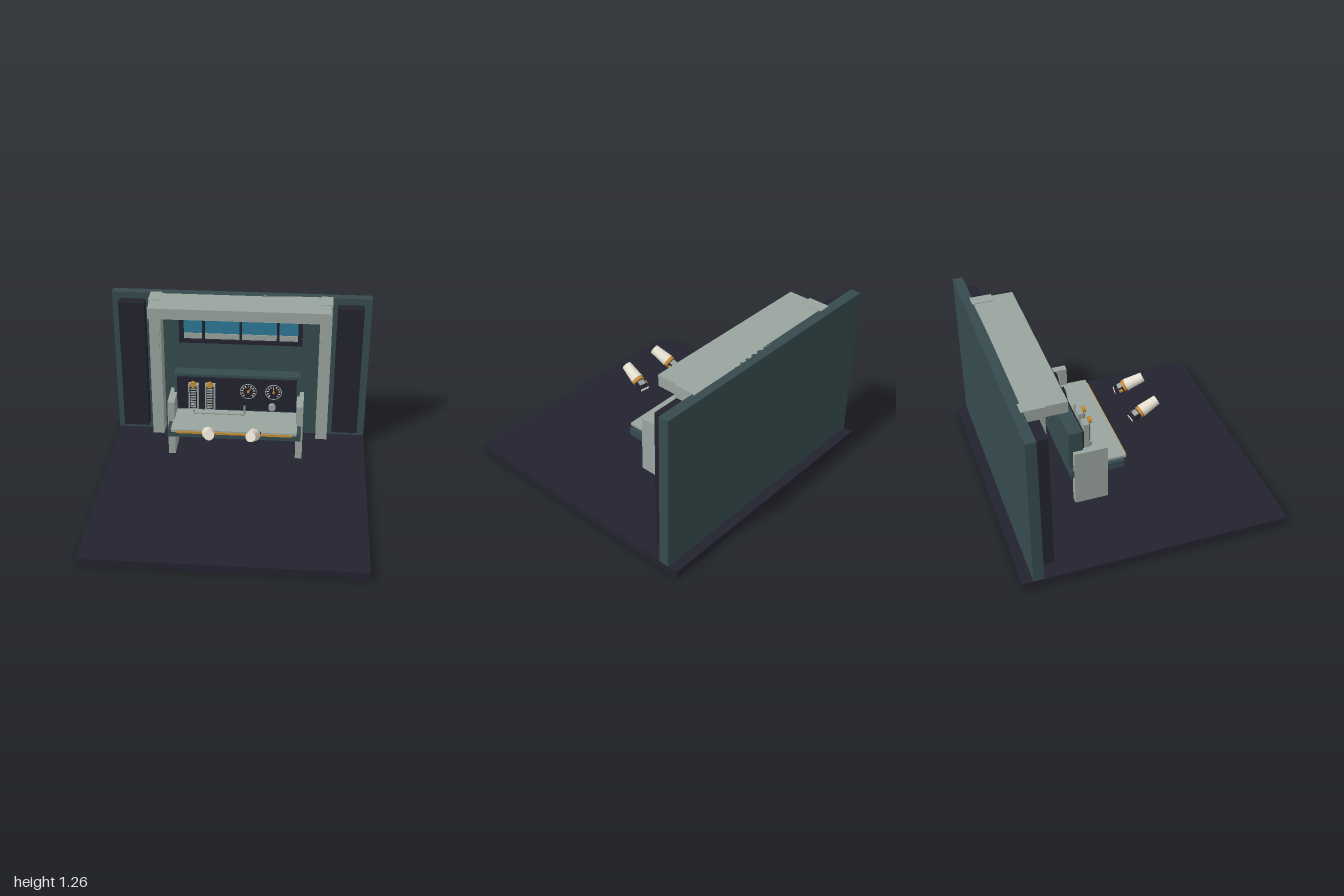
import * as THREE from 'three';

const mat = (name, color) => {
  const m = new THREE.MeshStandardMaterial({ color });
  m.name = name;
  return m;
};

export function createModel() {
  const model = new THREE.Group();
  model.name = 'controlRoom';
  const dark = mat('darkNavy', 0x23232f);
  const teal = mat('deepTeal', 0x364b4f);
  const grey = mat('paleGrey', 0x9aa49f);
  const blue = mat('windowBlue', 0x2e7898);
  const gold = mat('gold', 0xc58d36);
  const cream = mat('cream', 0xe4dfd0);

  const add = (name, geo, m, parent = model) => {
    const mesh = new THREE.Mesh(geo, m);
    mesh.name = name;
    parent.add(mesh);
    return mesh;
  };
  // Box given by its limits on each axis
  const box = (name, m, x0, x1, y0, y1, z0, z1, parent = model) => {
    const mesh = add(name, new THREE.BoxGeometry(x1 - x0, y1 - y0, z1 - z0), m, parent);
    mesh.position.set((x0 + x1) / 2, (y0 + y1) / 2, (z0 + z1) / 2);
    return mesh;
  };
  // The same box on both sides
  const pair = (name, m, x0, x1, ...rest) => {
    box(name + 'Left', m, x0, x1, ...rest);
    box(name + 'Right', m, -x1, -x0, ...rest);
  };
  // Cylinder lying along z
  const disc = (name, m, r0, r1, z0, z1, x, y, parent = model, sides = 24) => {
    const geo = new THREE.CylinderGeometry(r1, r0, z1 - z0, sides).rotateX(Math.PI / 2);
    const mesh = add(name, geo, m, parent);
    mesh.position.set(x, y, (z0 + z1) / 2);
    return mesh;
  };

  // Room shell
  box('floor', dark, -1, 1, 0, 0.06, -0.975, 0.975);
  box('backWall', teal, -1, 1, 0.06, 1.255, -0.9, -0.825);
  pair('sidePanel', dark, 0.74, 0.94, 0.13, 1.205, -0.825, -0.735);
  pair('pillar', grey, 0.61, 0.7, 0.09, 1.26, -0.843, -0.685);
  box('overheadBeam', grey, -0.685, 0.685, 1.17, 1.255, -0.84, -0.53);
  pair('lightStrip', grey, 0.62, 0.638, 0.69, 1.005, -0.678, -0.667);

  // Window with frame, mullions and a pale sill band
  const frame = new THREE.Shape([[-0.48, 0.87], [0.48, 0.87], [0.48, 1.14], [-0.48, 1.14]]
    .map(p => new THREE.Vector2(...p)));
  frame.holes.push(new THREE.Path([[-0.445, 0.9], [-0.445, 1.11], [0.445, 1.11], [0.445, 0.9]]
    .map(p => new THREE.Vector2(...p))));
  add('windowFrame', new THREE.ExtrudeGeometry(frame, { depth: 0.065, bevelEnabled: false }), dark)
    .position.z = -0.83;
  box('windowGlass', blue, -0.45, 0.45, 0.895, 1.115, -0.825, -0.79);
  box('windowSillBand', grey, -0.445, 0.445, 0.9, 0.945, -0.792, -0.784);
  for (const x of [-0.29, 0, 0.29]) box('mullion', dark, x - 0.01, x + 0.01, 0.9, 1.11, -0.8, -0.77);

  // Console
  box('consoleHousing', teal, -0.475, 0.475, 0.495, 0.8, -0.475, -0.375);
  box('instrumentPanel', dark, -0.45, 0.45, 0.515, 0.78, -0.376, -0.358);
  box('deskBase', teal, -0.495, 0.495, 0.425, 0.482, -0.47, -0.078);
  box('deskTop', grey, -0.465, 0.465, 0.479, 0.5, -0.374, -0.056);
  box('deskTrim', gold, -0.43, 0.43, 0.474, 0.49, -0.058, -0.047);
  pair('consoleLeg', grey, 0.455, 0.507, 0.2, 0.642, -0.447, -0.205);

  // Ladder level indicators
  for (const x of [-0.32, -0.195]) {
    const g = new THREE.Group();
    g.name = 'levelIndicator';
    model.add(g);
    box('indicatorBody', grey, x - 0.038, x + 0.038, 0.548, 0.755, -0.33, -0.288, g);
    box('indicatorFace', dark, x - 0.026, x + 0.026, 0.56, 0.742, -0.29, -0.281, g);
    for (let i = 0; i < 8; i++) {
      const y = 0.572 + i * 0.021;
      box('rung', grey, x - 0.02, x + 0.02, y, y + 0.009, -0.283, -0.272, g);
    }
    disc('indicatorLamp', gold, 0.024, 0.024, -0.288, -0.265, x, 0.764, g, 8);
  }

  // Dial gauges
  for (const [x, tilt] of [[0.09, -0.6], [0.28, 0.05]]) {
    const g = new THREE.Group();
    g.name = 'gauge';
    g.position.set(x, 0.695, 0);
    model.add(g);
    disc('gaugeFace', dark, 0.06, 0.06, -0.338, -0.326, 0, 0, g, 32);
    add('gaugeRim', new THREE.TorusGeometry(0.06, 0.0035, 6, 40), grey, g).position.z = -0.327;
    for (let i = 0; i < 11; i++) {
      const a = -Math.PI / 4 + (i / 10) * Math.PI * 1.5;
      const tick = box('tick', cream, -0.008, 0.008, -0.003, 0.003, -0.328, -0.321, g);
      tick.position.x = Math.cos(a) * 0.045;
      tick.position.y = Math.sin(a) * 0.045;
      tick.rotation.z = a;
    }
    const needle = box('needle', gold, -0.003, 0.003, 0, 0.038, -0.325, -0.318, g);
    needle.geometry.translate(0, 0.019, 0);
    needle.position.y = 0;
    needle.rotation.z = tilt;
    disc('needleHub', gold, 0.009, 0.009, -0.326, -0.314, 0, 0, g, 12);
  }

  // Knob and feed pipe
  disc('knob', grey, 0.027, 0.027, -0.358, -0.325, 0.27, 0.558, model, 10);
  const pipe = new THREE.CurvePath();
  const pts = [[-0.315, 0.56], [-0.315, 0.53], [0.065, 0.53], [0.065, 0.61]]
    .map(([x, y]) => new THREE.Vector3(x, y, -0.268));
  for (let i = 0; i < 3; i++) pipe.add(new THREE.LineCurve3(pts[i], pts[i + 1]));
  add('feedPipe', new THREE.TubeGeometry(pipe, 60, 0.008, 8), grey);

  // Floating sleeves with hands reaching for the desk
  for (const s of [-1, 1]) {
    const arm = new THREE.Group();
    arm.name = s > 0 ? 'leftArm' : 'rightArm';
    arm.position.set(s * 0.146, 0.667, 0.288);
    arm.quaternion.setFromUnitVectors(new THREE.Vector3(0, 0, -1),
      new THREE.Vector3(s * 0.03, -0.091, -0.205).normalize());
    model.add(arm);
    disc('sleeve', cream, 0.046, 0.036, -0.137, 0, 0, 0, arm);
    disc('cuff', gold, 0.043, 0.043, -0.16, -0.137, 0, 0, arm);
    box('palm', dark, -0.036, 0.036, -0.016, 0.016, -0.205, -0.16, arm);
    box('handPlate', grey, -0.026, 0.026, 0.014, 0.021, -0.2, -0.164, arm);
    for (let i = 0; i < 4; i++) {
      const x = -0.027 + i * 0.018;
      box('finger', dark, x - 0.007, x + 0.007, -0.009, 0.009, -0.228, -0.203, arm);
      box('fingertip', cream, x - 0.006, x + 0.006, -0.008, 0.008, -0.235, -0.227, arm);
    }
    box('thumb', gold, -s * 0.041 - 0.006, -s * 0.041 + 0.006, -0.01, 0.01, -0.2, -0.17, arm);
  }
  return model;
}
